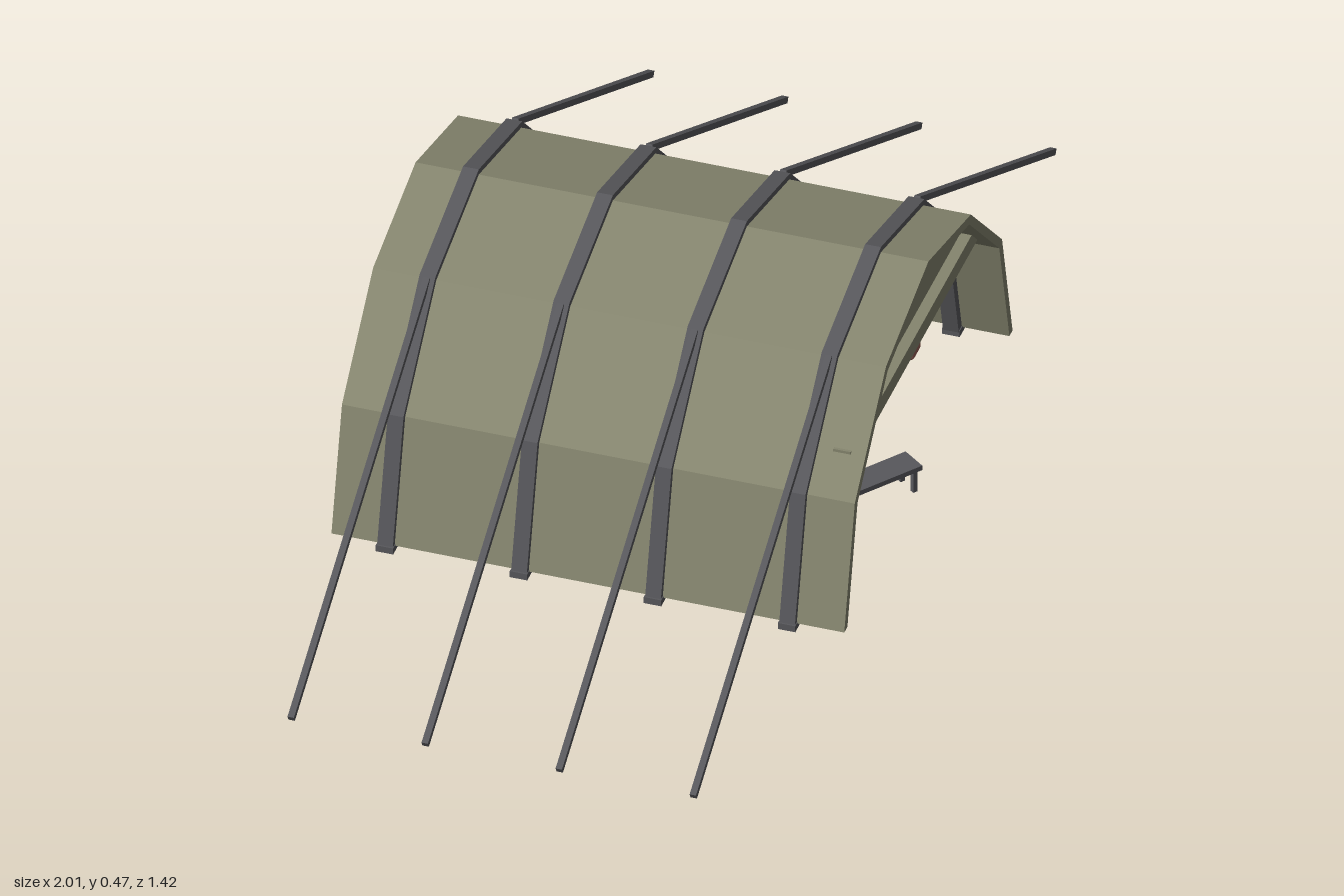
import * as THREE from 'three';
import { RoundedBoxGeometry } from 'three/addons/geometries/RoundedBoxGeometry.js';

const mat = (name, color) => {
  const m = new THREE.MeshStandardMaterial({ color });
  m.name = name;
  return m;
};

// Right half of the tent section, from ground to ridge, mirrored to a full arch
const half = [[0.44, 0.013], [0.385, 0.235], [0.222, 0.398], [0, 0.457]];
const arch = [...half, ...half.slice(0, 3).reverse().map(([x, y]) => [-x, y])];

// Arch moved outward by d (negative is inward), with mitred corners
function offsetArch(d) {
  const normal = (a, b) => new THREE.Vector2(b[1] - a[1], a[0] - b[0]).normalize();
  return arch.map((p, i) => {
    if (i === 0 || i === arch.length - 1) return new THREE.Vector2(p[0] + Math.sign(p[0]) * d * 1.03, p[1]);
    const n1 = normal(arch[i - 1], p), n2 = normal(p, arch[i + 1]);
    const m = n1.clone().add(n2).normalize();
    return new THREE.Vector2(p[0], p[1]).addScaledVector(m, d / m.dot(n1));
  });
}

// Flat shape extruded and centred on z = 0
function slab(shape, depth) {
  return new THREE.ExtrudeGeometry(shape, { depth, bevelEnabled: false }).translate(0, 0, -depth / 2);
}

const archBand = (outer, inner, depth) =>
  slab(new THREE.Shape([...offsetArch(outer), ...offsetArch(inner).reverse()]), depth);

export function createModel() {
  const canvas = mat('olive canvas', 0x86866f);
  const metal = mat('dark metal', 0x58585c);
  const red = mat('red fabric', 0x965f55);

  const model = new THREE.Group();
  model.name = 'tent';
  const camp = new THREE.Group();
  camp.name = 'camp';
  camp.rotation.y = 0.43;
  model.add(camp);

  const add = (parent, name, geometry, material, x = 0, y = 0, z = 0) => {
    const mesh = new THREE.Mesh(geometry, material);
    mesh.name = name;
    mesh.position.set(x, y, z);
    parent.add(mesh);
    return mesh;
  };
  const box = (parent, name, size, material, x, y, z) =>
    add(parent, name, new THREE.BoxGeometry(...size), material, x, y, z);
  const group = (name, x, z, turn = 0) => {
    const g = new THREE.Group();
    g.name = name;
    g.position.set(x, 0, z);
    g.rotation.y = turn;
    camp.add(g);
    return g;
  };

  // Canvas shell
  add(camp, 'shell', archBand(0, -0.016, 0.88), canvas);

  // Back wall with a doorway
  const wall = new THREE.Shape(offsetArch(-0.01));
  wall.holes.push(new THREE.Path([[-0.05, 0.0135], [-0.05, 0.155], [0.05, 0.155], [0.05, 0.0135]]
    .map(([x, y]) => new THREE.Vector2(x, y))));
  add(camp, 'backWall', slab(wall, 0.012), canvas, 0, 0, -0.395);
  box(camp, 'doorHood', [0.145, 0.016, 0.03], canvas, 0, 0.165, -0.412);
  for (const s of [-1, 1]) {
    box(camp, 'ventHood', [0.1, 0.016, 0.03], canvas, s * 0.24, 0.145, -0.412);
    box(camp, 'ventPost', [0.014, 0.035, 0.016], canvas, s * 0.24, 0.12, -0.405);
  }

  // Front gable and the beam below it
  const top = offsetArch(-0.01).slice(2, 5);
  const gable = new THREE.Shape([new THREE.Vector2(0.323, 0.285), ...top, new THREE.Vector2(-0.323, 0.285)]);
  add(camp, 'frontGable', slab(gable, 0.012), canvas, 0, 0, 0.39);
  box(camp, 'frontBeam', [0.66, 0.03, 0.03], canvas, 0, 0.28, 0.4);

  // Arched ribs with guy lines on both sides
  const ribGeometry = archBand(0.01, -0.032, 0.027);
  for (const z of [-0.345, -0.115, 0.115, 0.345]) {
    add(camp, 'rib', ribGeometry, metal, 0, 0, z);
    for (const s of [-1, 1]) {
      box(camp, 'ribFoot', [0.045, 0.012, 0.03], metal, s * 0.43, 0.01, z);
      const dx = 0.71, dy = 0.395;
      const line = box(camp, 'guyLine', [Math.hypot(dx, dy), 0.011, 0.011], metal,
        s * (0.23 + dx / 2), 0.007 + dy / 2, z);
      line.rotation.z = -s * Math.atan2(dy, dx);
    }
  }

  // Benches
  for (const [x, z, turn] of [[-0.236, 0.316, 0.55], [-0.069, 0.375, -0.65]]) {
    const bench = group('bench', x, z, turn);
    box(bench, 'benchTop', [0.145, 0.009, 0.048], metal, 0, 0.058, 0);
    for (const sx of [-1, 1]) {
      for (const sz of [-1, 1]) {
        box(bench, 'benchLeg', [0.008, 0.042, 0.008], metal, sx * 0.06, 0.034, sz * 0.018);
      }
    }
  }

  // Shelf rack along the left wall
  const rack = group('shelfRack', -0.33, 0.245);
  for (const y of [0.062, 0.11, 0.155]) {
    box(rack, 'shelf', [0.05, 0.007, 0.15], metal, 0, y, 0);
  }
  for (const sx of [-1, 1]) {
    for (const sz of [-1, 1]) {
      box(rack, 'rackPost', [0.008, 0.15, 0.008], metal, sx * 0.022, 0.09, sz * 0.068);
    }
  }

  // Pair of rucksacks by the right wall
  for (const z of [0.285, 0.22]) {
    const bag = group('rucksack', 0.315, z);
    add(bag, 'bagBody', new RoundedBoxGeometry(0.062, 0.095, 0.04, 2, 0.01), red, 0, 0.063, 0);
    add(bag, 'bagPocket', new RoundedBoxGeometry(0.044, 0.045, 0.018, 2, 0.007), red, 0, 0.045, 0.024);
    for (const s of [-1, 1]) {
      add(bag, 'sidePocket', new RoundedBoxGeometry(0.016, 0.05, 0.028, 2, 0.006), red, s * 0.036, 0.045, 0);
      box(bag, 'bagStrap', [0.005, 0.085, 0.004], metal, s * 0.018, 0.065, 0.021);
    }
    const roll = add(bag, 'bedRoll', new THREE.CylinderGeometry(0.019, 0.019, 0.092, 12), red, 0, 0.126, 0);
    roll.rotation.z = Math.PI / 2;
    for (const s of [-1, 1]) {
      const strap = add(bag, 'rollStrap', new THREE.CylinderGeometry(0.0205, 0.0205, 0.006, 12), metal, s * 0.022, 0.126, 0);
      strap.rotation.z = Math.PI / 2;
    }
  }

  return model;
}
